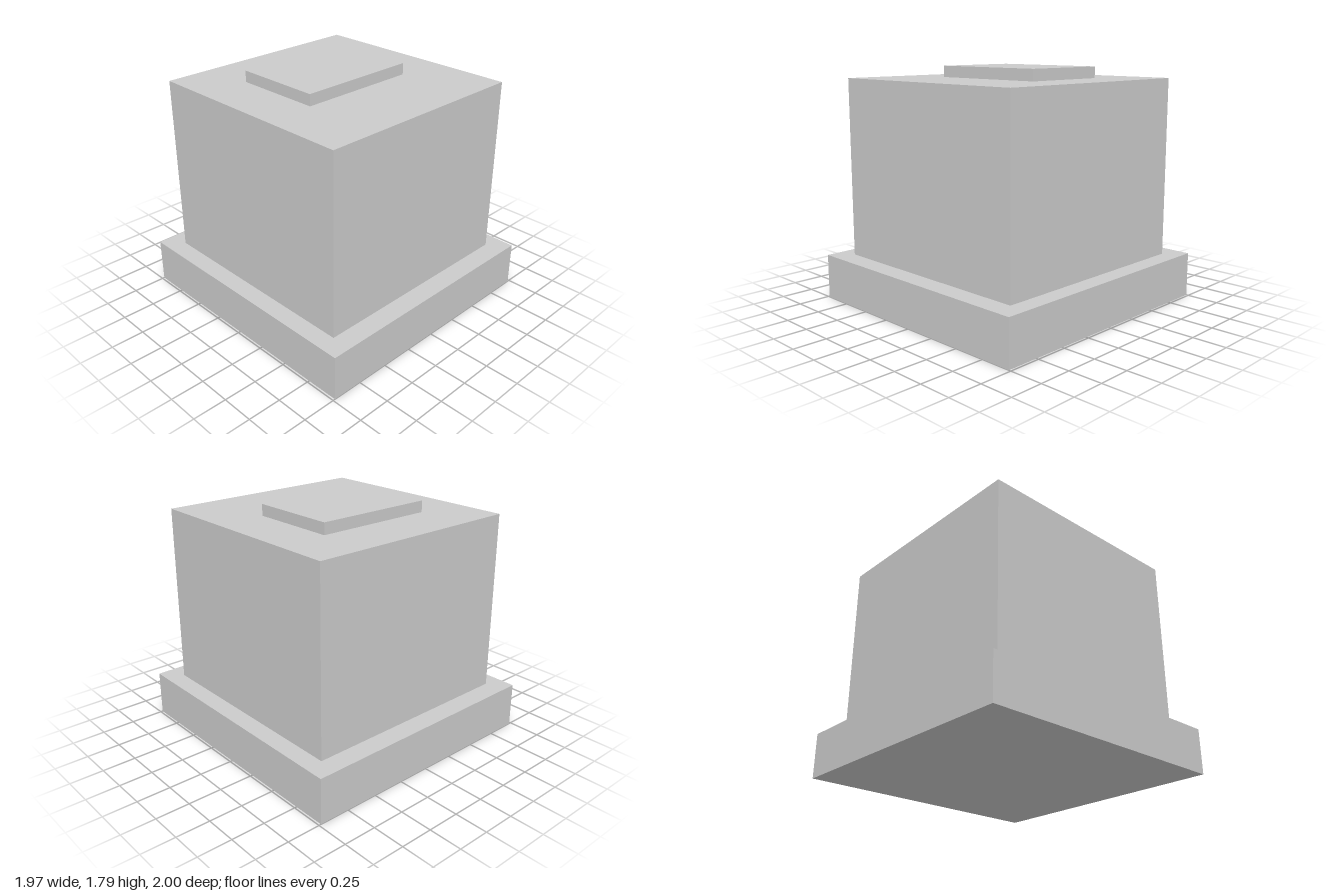
import * as THREE from 'three';

const material = new THREE.MeshStandardMaterial({ color: 0xcccccc, flatShading: true });

// Box resting on height y, shifted along z
function block(name, width, height, depth, y, z = 0) {
  const mesh = new THREE.Mesh(new THREE.BoxGeometry(width, height, depth), material);
  mesh.name = name;
  mesh.position.set(0, y + height / 2, z);
  return mesh;
}

export function createModel() {
  const group = new THREE.Group();
  group.name = 'steppedBlock';
  group.add(
    block('basePlinth', 1.966, 0.34, 2, 0),
    block('mainBody', 1.692, 1.36, 1.692, 0.34),
    // Raised panel, set toward the back
    block('topPanel', 0.93, 0.086, 0.676, 1.7, -0.103),
  );
  return group;
}
